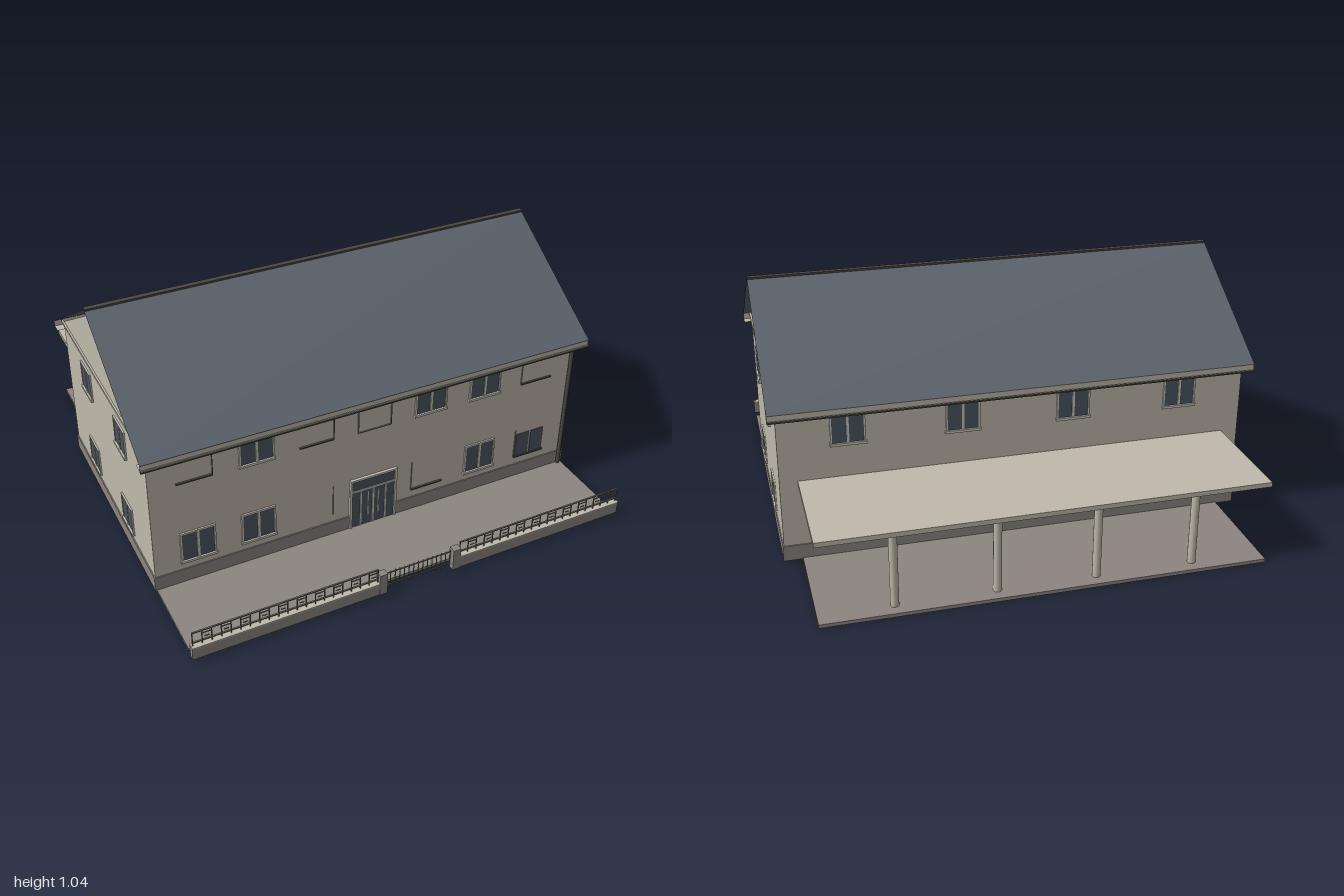
import * as THREE from 'three';

const mat = (name, color, double = false) => {
  const m = new THREE.MeshStandardMaterial({ color, side: double ? THREE.DoubleSide : THREE.FrontSide });
  m.name = name;
  return m;
};

export function createModel() {
  const M = {
    wall: mat('beige plaster', 0xbfb9ab, true),
    roof: mat('slate blue roof', 0x5c646d, true),
    stone: mat('grey brown stone', 0x8c8580, true),
    glass: mat('dark glass', 0x4b5560, true),
    frame: mat('pale frame', 0xc9c4b8),
    metal: mat('dark metal', 0x4a4843),
    rail: mat('fence rail', 0x77736a),
  };
  const house = new THREE.Group();
  house.name = 'house';

  const mesh = (parent, name, geo, m, x = 0, y = 0, z = 0) => {
    const o = new THREE.Mesh(geo, m);
    o.name = name;
    o.position.set(x, y, z);
    parent.add(o);
    return o;
  };
  // Box given by its limits on each axis
  const box = (parent, name, m, x0, x1, y0, y1, z0, z1) =>
    mesh(parent, name, new THREE.BoxGeometry(x1 - x0, y1 - y0, z1 - z0), m,
      (x0 + x1) / 2, (y0 + y1) / 2, (z0 + z1) / 2);
  const group = (parent, name, x = 0, y = 0, z = 0, ry = 0) => {
    const g = new THREE.Group();
    g.name = name;
    g.position.set(x, y, z);
    g.rotation.y = ry;
    parent.add(g);
    return g;
  };

  // Pane seen from inside the hollow shell
  const innerPane = (wall, x, y, w, h) =>
    box(wall, 'innerPane', M.glass, x - w / 2 + 0.008, x + w / 2 - 0.008, y + 0.008, y + h - 0.008, -0.006, -0.003);

  // Two-leaf window, standing at y in the plane of a wall
  const windowUnit = (wall, x, y, w, h) => {
    const g = group(wall, 'window', x, y, 0);
    const a = w / 2, t = 0.007;
    box(g, 'glass', M.glass, -a + t, a - t, t, h - t, 0.001, 0.004);
    for (const s of [-1, 1]) box(g, 'jamb', M.frame, s * (a - t / 2) - t / 2, s * (a - t / 2) + t / 2, 0, h, 0, 0.007);
    box(g, 'mullion', M.frame, -0.005, 0.005, t, h - t, 0, 0.007);
    box(g, 'head', M.frame, -a, a, h - t, h, 0, 0.007);
    box(g, 'sill', M.frame, -a - 0.003, a + 0.003, -0.004, t, 0, 0.012);
    innerPane(wall, x, y, w, h);
  };

  // Plastered-over opening: one reveal edge and a sill line
  const blindWindow = (wall, x, y, w, h, side, sill = true) => {
    const g = group(wall, 'blindWindow', x, y, 0);
    const e = side * w / 2;
    box(g, 'revealEdge', M.rail, e - 0.002, e + 0.002, 0, h, 0, 0.004);
    if (sill) box(g, 'sill', M.metal, -w / 2, w / 2, 0, 0.006, 0, 0.008);
    innerPane(wall, x, y, w, h);
  };

  // Wall shell, each wall built facing its own +z
  const wallShape = (w, apex) => {
    const s = new THREE.Shape();
    s.moveTo(-w, 0.012);
    s.lineTo(w, 0.012);
    s.lineTo(w, 0.685);
    if (apex) s.lineTo(0, apex);
    s.lineTo(-w, 0.685);
    return new THREE.ShapeGeometry(s);
  };
  const makeWall = (name, halfW, x, z, ry, apex) => {
    const g = group(house, name, x, 0, z, ry);
    mesh(g, 'plaster', wallShape(halfW, apex), M.wall);
    box(g, 'plinth', M.stone, -halfW - 0.004, halfW + 0.004, 0.01, 0.076, -0.001, 0.005);
    return g;
  };
  const front = makeWall('frontWall', 0.967, 0, 0.56, 0);
  const back = makeWall('backWall', 0.967, 0, -0.49, Math.PI);
  const sides = [1, -1].map(s => makeWall(s > 0 ? 'leftWall' : 'rightWall', 0.525, s * 0.967, 0.035, s * Math.PI / 2, 1.003));

  // Front openings
  const W = 0.15, H = 0.145;
  for (const x of [-0.52, 0.26, 0.52]) windowUnit(front, x, 0.5, W, H);
  for (const x of [-0.78, -0.52, 0.52]) windowUnit(front, x, 0.115, W, H);
  blindWindow(front, -0.78, 0.503, W, H, 1);
  blindWindow(front, -0.26, 0.503, W, H, 1);
  blindWindow(front, 0.78, 0.503, W, H, -1);
  blindWindow(front, 0, 0.497, W, H, 1, false);
  blindWindow(front, 0, 0.497, W, H, -1, false);
  box(front, 'blindSill', M.rail, -0.075, 0.075, 0.495, 0.499, 0, 0.004);
  blindWindow(front, -0.26, 0.115, W, H, 1, false);
  blindWindow(front, 0.26, 0.115, W, H, -1);
  blindWindow(front, 0.78, 0.115, W, H, -1);
  for (const s of [-1, 1])
    box(front, 'casementGlass', M.glass, 0.78 + s * 0.037 - 0.033, 0.78 + s * 0.037 + 0.033, 0.122, 0.238, 0.001, 0.004);

  // Back and side windows
  for (const x of [-0.69, -0.23, 0.23, 0.69]) for (const y of [0.113, 0.5]) windowUnit(back, x, y, 0.14, 0.13);
  for (const wall of sides) {
    for (const x of [-0.22, 0.22]) for (const y of [0.11, 0.498]) windowUnit(wall, x, y, 0.13, 0.128);
    box(wall, 'gableBand', M.wall, -0.54, 0.527, 0.676, 0.688, 0, 0.008);
  }

  // Entrance door with transom and glazing bars
  const door = group(front, 'door');
  box(door, 'doorGlass', M.glass, -0.104, 0.104, 0.015, 0.255, 0.001, 0.006);
  for (const s of [-1, 1]) {
    box(door, 'jamb', M.frame, s * 0.105 - 0.005, s * 0.105 + 0.005, 0.015, 0.265, 0, 0.012);
    box(door, 'leafEdge', M.frame, s * 0.058 - 0.003, s * 0.058 + 0.003, 0.015, 0.2, 0, 0.009);
    box(door, 'pullBar', M.frame, s * 0.024 - 0.002, s * 0.024 + 0.002, 0.06, 0.185, 0, 0.009);
  }
  box(door, 'meetingStile', M.frame, -0.004, 0.004, 0.015, 0.2, 0, 0.009);
  box(door, 'transom', M.frame, -0.105, 0.105, 0.198, 0.206, 0, 0.009);
  box(door, 'head', M.frame, -0.11, 0.11, 0.255, 0.265, 0, 0.012);
  innerPane(front, 0, 0.01, 0.22, 0.255);

  // Thin roof slopes, fascia, soffit and gutters on both long sides
  const zr = 0.035, run = 0.572, rise = 0.36;
  for (const s of [1, -1]) {
    const slope = mesh(house, 'roofSlope', new THREE.PlaneGeometry(2, Math.hypot(run, rise)), M.roof, 0, 1.032 - rise / 2, zr + s * run / 2);
    slope.rotation.set(-Math.PI / 2 + s * Math.atan2(rise, run), 0, 0);
    const fascia = mesh(house, 'fascia', new THREE.PlaneGeometry(2, 0.027), M.wall, 0, 0.66, zr + s * 0.568);
    if (s < 0) fascia.rotation.y = Math.PI;
    const soffit = mesh(house, 'soffit', new THREE.PlaneGeometry(2, 0.045), M.wall, 0, 0.647, zr + s * 0.547);
    soffit.rotation.x = Math.PI / 2;
    box(house, 'gutter', M.metal, -1, 1, 0.641, 0.647, zr + s * 0.574 - 0.006, zr + s * 0.574 + 0.006);
  }
  box(house, 'ridgeCap', M.metal, -1, 1, 1.028, 1.036, zr - 0.012, zr + 0.012);

  // Downpipe with a swan neck at the eaves
  const pipe = new THREE.CatmullRomCurve3([[0.592, 0.668], [0.588, 0.655], [0.573, 0.63], [0.572, 0.55], [0.572, 0.016]]
    .map(([z, y]) => new THREE.Vector3(0.947, y, z)), false, 'centripetal');
  mesh(house, 'downpipe', new THREE.TubeGeometry(pipe, 24, 0.009, 10), M.metal);

  // Paving in front and behind
  box(house, 'frontTerrace', M.stone, -0.965, 0.965, 0, 0.013, 0.56, 0.91);
  box(house, 'backTerrace', M.stone, -0.895, 0.895, 0, 0.015, -0.972, -0.49);

  // Rear canopy on four columns
  box(house, 'canopyRoof', M.wall, -0.895, 0.895, 0.34, 0.36, -0.968, -0.485);
  for (const x of [-0.6, -0.2, 0.2, 0.6])
    mesh(house, 'canopyColumn', new THREE.CylinderGeometry(0.017, 0.017, 0.325, 16), M.wall, x, 0.1775, -0.914);

  // Street fence: low wall, gate pillar and railing on each half
  for (const s of [-1, 1]) {
    const f = group(house, s > 0 ? 'leftFence' : 'rightFence', s * 0.575, 0, 0.958);
    box(f, 'lowWall', M.stone, -0.395, 0.395, 0.012, 0.066, -0.013, 0.013);
    box(f, 'coping', M.wall, -0.395, 0.395, 0.066, 0.071, -0.016, 0.016);
    box(f, 'topRail', M.rail, -0.39, 0.39, 0.132, 0.137, -0.003, 0.003);
    box(f, 'lowerRail', M.rail, -0.39, 0.39, 0.084, 0.088, -0.003, 0.003);
    for (let i = 0; i <= 20; i++) {
      const x = -0.388 + i * 0.0388;
      box(f, 'baluster', M.rail, x - 0.002, x + 0.002, 0.071, 0.134, -0.002, 0.002);
      if (i % 2 && i < 20) {
        box(f, 'ornamentTop', M.rail, x, x + 0.0388, 0.118, 0.121, -0.002, 0.002);
        box(f, 'ornamentBottom', M.rail, x + 0.01, x + 0.03, 0.1, 0.103, -0.002, 0.002);
      }
    }
    box(house, 'gatePillar', M.stone, s * 0.167 - 0.017, s * 0.167 + 0.017, 0.012, 0.112, 0.942, 0.974);
  }

  // Gate leaves
  const gate = group(house, 'gate', 0, 0, 0.952);
  for (const y of [0.03, 0.092]) box(gate, 'gateRail', M.rail, -0.15, 0.15, y, y + 0.004, -0.002, 0.002);
  for (let i = 0; i <= 14; i++) {
    const x = -0.147 + i * 0.021;
    box(gate, 'gateBar', M.rail, x - 0.0015, x + 0.0015, 0.02, 0.102, -0.0015, 0.0015);
  }

  return house;
}
